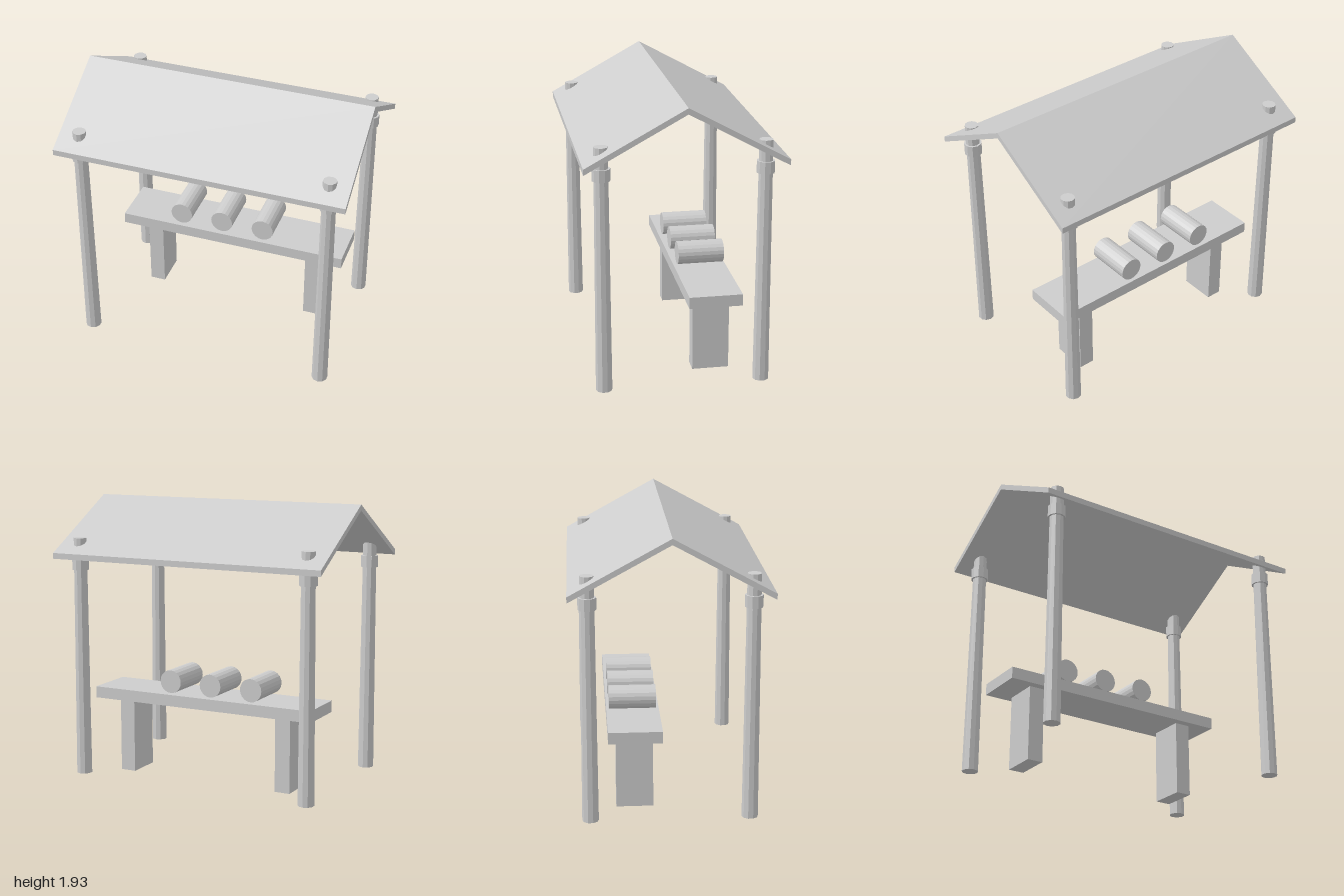
import * as THREE from 'three';

export function createModel() {
  const model = new THREE.Group();
  model.name = 'marketShelter';
  const grey = new THREE.MeshStandardMaterial({ color: 0xcccccc, flatShading: true });
  grey.name = 'plain grey';

  const add = (name, geometry, x, y, z, parent = model) => {
    const mesh = new THREE.Mesh(geometry, grey);
    mesh.name = name;
    mesh.position.set(x, y, z);
    parent.add(mesh);
    return mesh;
  };

  // Four tapered posts, each with a collar below the roof
  const postGeometry = new THREE.CylinderGeometry(0.046, 0.055, 1.67, 10);
  const collarGeometry = new THREE.CylinderGeometry(0.06, 0.06, 0.08, 10);
  for (const [side, x] of [['left', 0.86], ['right', -0.86]]) {
    for (const [end, z] of [['Front', 0.53], ['Back', -0.53]]) {
      const post = new THREE.Group();
      post.name = `${side}${end}Post`;
      post.position.set(x, 0, z);
      add('shaft', postGeometry, 0, 0.835, 0, post);
      add('collar', collarGeometry, 0, 1.49, 0, post);
      model.add(post);
    }
  }

  // Gabled roof: chevron section extruded along x
  const section = new THREE.Shape([
    [-0.657, 1.53], [0, 1.89], [0.657, 1.53],
    [0.657, 1.57], [0, 1.93], [-0.657, 1.57],
  ].map(([z, y]) => new THREE.Vector2(z, y)));
  const roofGeometry = new THREE.ExtrudeGeometry(section, { depth: 2, bevelEnabled: false });
  roofGeometry.translate(0, 0, -1).rotateY(Math.PI / 2);
  add('roof', roofGeometry, 0, 0, 0);

  // Bench top on two slab legs
  add('benchTop', new THREE.BoxGeometry(1.66, 0.08, 0.36), 0, 0.56, -0.227);
  for (const [side, x] of [['left', 0.605], ['right', -0.605]]) {
    add(`${side}BenchLeg`, new THREE.BoxGeometry(0.11, 0.52, 0.25), x, 0.26, -0.227);
  }

  // Three rolls lying across the bench
  const rollGeometry = new THREE.CylinderGeometry(0.08, 0.08, 0.32, 20).rotateX(Math.PI / 2);
  [-0.385, -0.077, 0.231].forEach((x, i) => add(`roll${i + 1}`, rollGeometry, x, 0.69, -0.23));

  return model;
}
